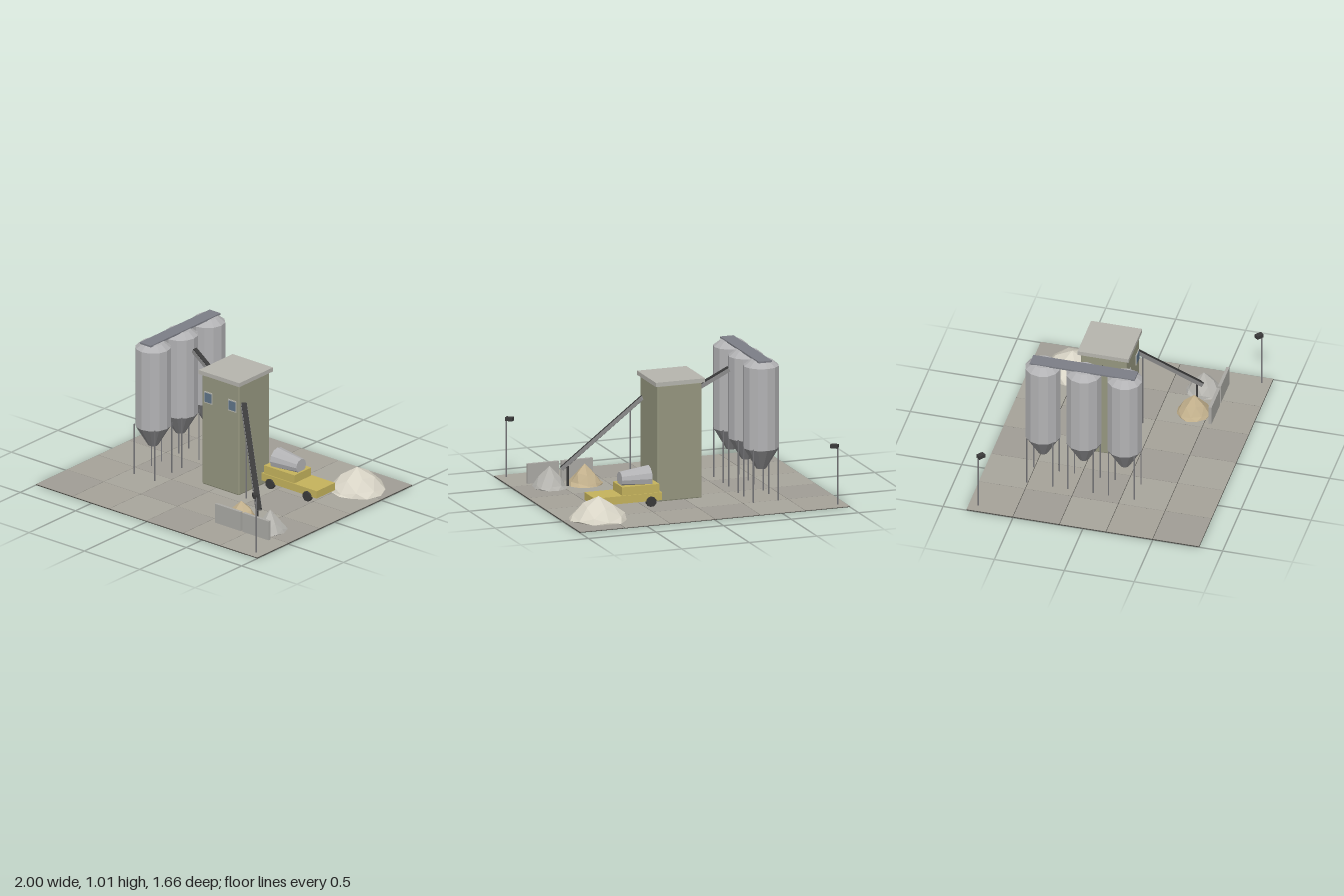
import * as THREE from 'three';
import { RoundedBoxGeometry } from 'three/addons/geometries/RoundedBoxGeometry.js';

const material = (color) => new THREE.MeshStandardMaterial({ color, flatShading: true });
const M = {
  slab: material(0x45443f),
  tiles: [0xa5a299, 0xa09d95, 0xa8a59c].map(material),
  silo: material(0xb2b2b4), hopper: material(0x8a8a8c), dark: material(0x3a3a3a),
  steel: material(0x77777a), walkway: material(0x7c7e86), channel: material(0x8c8c8c),
  wall: material(0x95967f), roof: material(0xb5b4ad), frame: material(0xb8b8b0),
  glass: material(0x5f7488), truck: material(0xc4b25c), concrete: material(0xaaa9a4),
  sand: material(0xc2b08c), gravel: material(0xb4b3ae), limestone: material(0xd8d4c6),
};

function add(parent, name, geometry, mat, x = 0, y = 0, z = 0) {
  const mesh = new THREE.Mesh(geometry, mat);
  mesh.name = name;
  mesh.position.set(x, y, z);
  parent.add(mesh);
  return mesh;
}

function group(parent, name, x = 0, y = 0, z = 0) {
  const g = new THREE.Group();
  g.name = name;
  g.position.set(x, y, z);
  parent.add(g);
  return g;
}

const box = (w, h, d) => new THREE.BoxGeometry(w, h, d);

// Upright pole standing on the ground
function pole(parent, name, x, z, height, mat = M.steel, radius = 0.005) {
  return add(parent, name, new THREE.CylinderGeometry(radius, radius, height, 6), mat, x, height / 2, z);
}

// Closed silo with a hopper and four legs
function silo(parent, x, z) {
  const g = group(parent, 'silo', x, 0, z);
  const r = 0.125;
  add(g, 'siloBody', new THREE.CylinderGeometry(r, r, 0.585, 12), M.silo, 0, 0.668, 0);
  add(g, 'siloCap', new THREE.CylinderGeometry(0.075, r, 0.04, 12), M.silo, 0, 0.98, 0);
  add(g, 'siloHopper', new THREE.CylinderGeometry(r, 0.035, 0.15, 12), M.hopper, 0, 0.3, 0);
  for (const sx of [-1, 1]) {
    for (const sz of [-1, 1]) pole(g, 'siloLeg', sx * 0.092, sz * 0.092, 0.385);
  }
}

// Inclined trough with a dark belt on top, running between two points
function conveyor(parent, name, from, to, width, depth) {
  const a = new THREE.Vector3(...from), b = new THREE.Vector3(...to);
  const g = group(parent, name);
  g.position.copy(a).add(b).multiplyScalar(0.5);
  g.lookAt(b);
  const length = a.distanceTo(b);
  add(g, 'conveyorFrame', box(width, depth, length), M.channel);
  add(g, 'conveyorBelt', box(width * 0.9, 0.008, length), M.dark, 0, depth / 2 + 0.003, 0);
}

// Heap of loose material: a sphere pressed onto the ground, with uneven facets
function heap(parent, name, x, z, radius, height, power, mat, seed) {
  const geometry = new THREE.IcosahedronGeometry(1, 1);
  const p = geometry.attributes.position;
  for (let i = 0; i < p.count; i++) {
    const px = p.getX(i), py = p.getY(i), pz = p.getZ(i);
    const noise = 1 + 0.06 * Math.sin(px * 7.1 + py * 4.3 + pz * 9.7 + seed);
    const r = Math.hypot(px, pz);
    const y = py > 0.01 ? height * (1 - Math.pow(r, power)) * noise : 0;
    p.setXYZ(i, px * radius * noise, y, pz * radius * noise);
  }
  geometry.rotateY(seed);
  geometry.computeVertexNormals();
  add(parent, name, geometry, mat, x, 0.007, z);
}

function mixerTruck(parent, x, z) {
  const g = group(parent, 'mixerTruck', x, 0, z);
  add(g, 'chassis', box(0.5, 0.055, 0.195), M.truck, 0, 0.073, 0);
  add(g, 'drumBase', box(0.275, 0.06, 0.18), M.truck, -0.095, 0.13, 0);
  const drum = add(g, 'drum', new THREE.CylinderGeometry(0.08, 0.052, 0.215, 12), M.silo, -0.08, 0.197, 0);
  drum.rotation.z = Math.PI / 2;
  for (const wx of [-0.168, 0.168]) {
    for (const side of [-1, 1]) {
      const wheel = add(g, 'wheel', new THREE.CylinderGeometry(0.037, 0.037, 0.025, 10), M.dark, wx, 0.042, side * 0.098);
      wheel.rotation.x = Math.PI / 2;
    }
  }
}

// Yard light whose head points toward the middle of the yard
function yardLight(parent, side) {
  const g = group(parent, 'yardLight');
  pole(g, 'lightPole', side * 0.935, side * 0.765, 0.42);
  const head = add(g, 'lightHead', box(0.052, 0.026, 0.036), M.dark, side * 0.916, 0.424, side * 0.752);
  head.rotation.y = -0.69;
}

export function createModel() {
  const model = new THREE.Group();
  model.name = 'concretePlant';

  // Paved yard: thin slab with a grid of tiles
  const yard = group(model, 'yard');
  add(yard, 'slab', box(2, 0.005, 1.664), M.slab, 0, 0.0025, 0);
  const tile = 1 / 3;
  for (let i = 0; i < 6; i++) {
    for (let j = 0; j < 5; j++) {
      add(yard, 'pavingTile', box(tile - 0.004, 0.004, tile - 0.004), M.tiles[(i * 2 + j) % 3],
        (i - 2.5) * tile, 0.006, (j - 2) * tile - 0.001);
    }
  }

  // Silo row with a walkway across the caps
  for (const z of [0.167, -0.125, -0.417]) silo(model, -0.5, z);
  add(model, 'walkway', box(0.1, 0.012, 0.75), M.walkway, -0.5, 1.002, -0.125);

  // Mixing tower
  const tower = group(model, 'mixingTower', 0.038, 0, -0.083);
  add(tower, 'towerBody', new RoundedBoxGeometry(0.332, 0.832, 0.332, 1, 0.01), M.wall, 0, 0.42, 0);
  add(tower, 'towerRoof', box(0.365, 0.03, 0.365), M.roof, 0, 0.847, 0);
  for (const x of [-0.108, 0.108]) {
    add(tower, 'windowFrame', box(0.075, 0.085, 0.01), M.frame, x, 0.668, 0.166);
    add(tower, 'windowGlass', box(0.06, 0.068, 0.01), M.glass, x, 0.668, 0.169);
  }

  // Conveyors and their supports
  conveyor(model, 'siloConveyor', [-0.375, 0.872, -0.125], [-0.1, 0.72, -0.083], 0.035, 0.028);
  conveyor(model, 'aggregateConveyor', [0.205, 0.683, 0.033], [0.655, 0.13, 0.405], 0.042, 0.026);
  pole(model, 'conveyorPost', 0.275, 0.09, 0.59);
  pole(model, 'conveyorPost', 0.625, 0.385, 0.15, M.dark, 0.008);

  // Aggregate bins and stockpiles
  for (const x of [0.498, 0.75]) {
    add(model, 'binWall', box(0.232, 0.148, 0.022), M.concrete, x, 0.076, 0.542);
  }
  heap(model, 'sandHeap', 0.493, 0.4, 0.124, 0.155, 1.2, M.sand, 0.4);
  heap(model, 'gravelHeap', 0.753, 0.4, 0.122, 0.155, 1.2, M.gravel, 1.7);
  heap(model, 'limestoneHeap', 0.748, -0.54, 0.2, 0.157, 1.8, M.limestone, 2.6);

  mixerTruck(model, 0.457, -0.253);
  for (const side of [-1, 1]) yardLight(model, side);

  return model;
}
